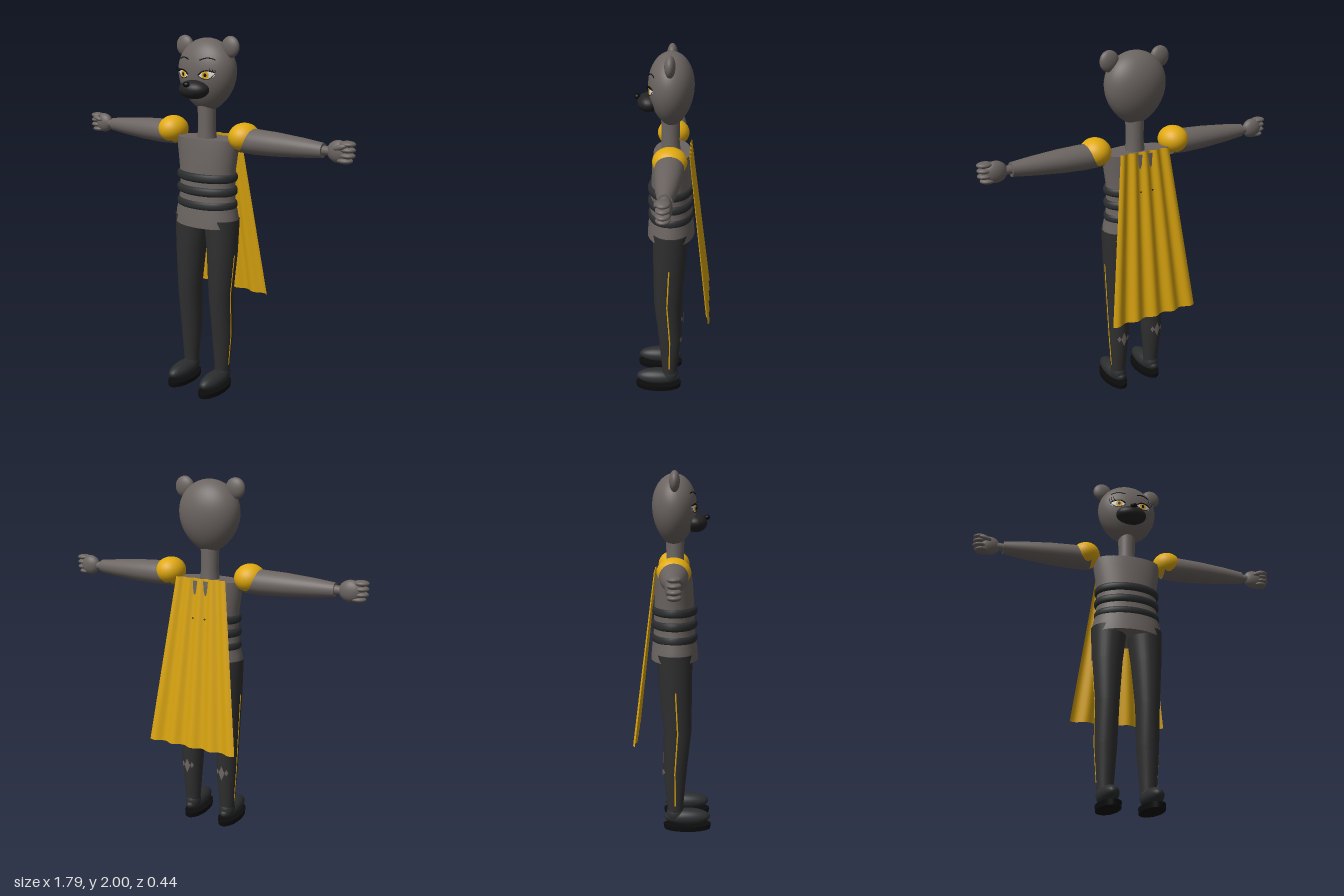
import * as THREE from 'three';

const mat = (name, color, side = THREE.FrontSide) => {
  const m = new THREE.MeshStandardMaterial({ color, side });
  m.name = name;
  return m;
};

// Elliptical sections [y, cx, rx, rz, cz] joined into a capped, smooth body
function loft(rows, n = 32) {
  const pos = [], idx = [];
  const ring = ([y, cx, rx, rz, cz]) => {
    for (let i = 0; i < n; i++) {
      const a = (i / n) * Math.PI * 2;
      pos.push(cx + rx * Math.sin(a), y, cz + rz * Math.cos(a));
    }
  };
  rows.forEach(ring);
  for (let r = 0; r < rows.length - 1; r++) {
    for (let i = 0; i < n; i++) {
      const a = r * n + i, b = r * n + (i + 1) % n;
      idx.push(a, b, b + n, a, b + n, a + n);
    }
  }
  [rows[0], rows[rows.length - 1]].forEach((row, top) => {
    const start = pos.length / 3;
    ring(row);
    pos.push(row[1], row[0], row[4]);
    for (let i = 0; i < n; i++) {
      const a = start + i, b = start + (i + 1) % n;
      top ? idx.push(a, b, start + n) : idx.push(b, a, start + n);
    }
  });
  const g = new THREE.BufferGeometry();
  g.setAttribute('position', new THREE.Float32BufferAttribute(pos, 3));
  g.setIndex(idx);
  g.computeVertexNormals();
  return g;
}

// Moves every vertex by a rule
function warp(g, rule) {
  const p = g.attributes.position, v = new THREE.Vector3();
  for (let i = 0; i < p.count; i++) {
    rule(v.fromBufferAttribute(p, i));
    p.setXYZ(i, v.x, v.y, v.z);
  }
  g.computeVertexNormals();
  return g;
}

// Egg-shaped head: half width at a height, and front surface depth
const headWidth = (y) => {
  const t = y - 1.82;
  return t > 0 ? 0.175 * Math.sqrt(Math.max(0, 1 - (t / 0.17) ** 2))
    : 0.175 * Math.max(0, 1 - (t / 0.22) ** 2) ** 0.65;
};
const headZ = (x, y) => 0.005 + 0.69 * Math.sqrt(Math.max(0, headWidth(y) ** 2 - x * x));

export function createModel() {
  const root = new THREE.Group();
  root.name = 'caped bear figure';
  const fur = mat('grey fur', 0x6b6461);
  const gold = mat('gold', 0xe0a910);
  const cloth = mat('gold cape', 0xd9a40f, THREE.DoubleSide);
  const pants = mat('charcoal trousers', 0x2f2f2f);
  const dark = mat('dark bands and shoes', 0x2b2d2e);
  const snout = mat('muzzle', 0x242222);
  const black = mat('black', 0x0c0c0c);
  const white = mat('eye white', 0xe8e4de);

  const add = (name, geometry, material, parent = root) => {
    const m = new THREE.Mesh(geometry, material);
    m.name = name;
    parent.add(m);
    return m;
  };
  const ball = (name, material, [x, y, z], [rx, ry, rz], parent = root) => {
    const m = add(name, new THREE.SphereGeometry(1, 28, 20), material, parent);
    m.position.set(x, y, z);
    m.scale.set(rx, ry, rz);
    return m;
  };

  // Torso, waist bands and neck
  add('torso', loft([
    [0.978, 0, 0.2, 0.132, 0.007], [1.05, 0, 0.194, 0.126, 0.007], [1.11, 0, 0.178, 0.117, 0.006],
    [1.2, 0, 0.172, 0.113, 0.005], [1.3, 0, 0.178, 0.11, 0.004], [1.4, 0, 0.194, 0.106, 0.002],
    [1.46, 0, 0.2, 0.1, 0],
  ], 48), fur);
  for (const y of [1.1, 1.177, 1.252]) {
    add('waist band', loft([
      [y - 0.024, 0, 0.172, 0.112, 0.007], [y - 0.019, 0, 0.183, 0.122, 0.007], [y - 0.008, 0, 0.188, 0.127, 0.007],
      [y + 0.008, 0, 0.188, 0.127, 0.007], [y + 0.019, 0, 0.183, 0.122, 0.007], [y + 0.024, 0, 0.172, 0.112, 0.007],
    ], 48), dark);
  }
  add('neck', loft([[1.44, 0, 0.056, 0.054, 0.008], [1.52, 0, 0.048, 0.048, 0.009], [1.66, 0, 0.052, 0.05, 0.01]]), fur);

  // Head and muzzle
  const head = new THREE.Group();
  head.name = 'head';
  root.add(head);
  const profile = [];
  for (let i = 0; i <= 36; i++) {
    const y = 1.795 - 0.195 * Math.cos((i / 36) * Math.PI);
    profile.push(new THREE.Vector2(i % 36 ? headWidth(y) : 0, y));
  }
  const skull = add('skull', new THREE.LatheGeometry(profile, 40), fur, head);
  skull.scale.z = 0.69;
  skull.position.z = 0.005;
  ball('muzzle', snout, [0, 1.727, 0.12], [0.09, 0.05, 0.064], head);
  ball('nose', black, [0, 1.757, 0.183], [0.02, 0.014, 0.016], head);

  // Thin disc laid on the face
  const faceDisc = (name, material, x, y, rx, ry, tilt, lift) => {
    const g = new THREE.RingGeometry(0, 1, 24, 4);
    g.scale(rx, ry, 1).rotateZ(tilt).translate(x, y, 0);
    add(name, warp(g, (v) => { v.z = headZ(v.x, v.y) + lift; }), material, head);
  };
  // Thin line laid on the face
  const faceLine = (name, pts, radius, lift) => {
    const curve = new THREE.CatmullRomCurve3(pts.map(([x, y, out = 0]) => new THREE.Vector3(x, y, headZ(x, y) + lift + out)));
    add(name, new THREE.TubeGeometry(curve, 12, radius, 6), black, head);
  };

  for (const s of [1, -1]) {
    ball('ear', fur, [s * 0.152, 1.945, 0.006], [0.055, 0.056, 0.028], head);

    // Eye, lashes and brow
    faceDisc('eye white', white, s * 0.078, 1.805, 0.043, 0.02, s * 0.12, 0.002);
    faceDisc('iris', gold, s * 0.073, 1.804, 0.019, 0.019, 0, 0.004);
    faceDisc('pupil', black, s * 0.073, 1.804, 0.008, 0.01, 0, 0.006);
    faceLine('upper lash line', [[s * 0.034, 1.803], [s * 0.055, 1.821], [s * 0.085, 1.827], [s * 0.122, 1.818]], 0.0038, 0.004);
    faceLine('lower lash line', [[s * 0.036, 1.797], [s * 0.06, 1.785], [s * 0.09, 1.785], [s * 0.12, 1.81]], 0.0018, 0.003);
    for (const k of [0, 1, 2]) {
      const x = s * (0.122 - k * 0.012), y = 1.82 + k * 0.004;
      faceLine('eyelash', [[x, y], [x + s * 0.006, y + 0.004, 0.012], [x + s * 0.01, y + 0.013, 0.026]], 0.0015, 0.003);
    }
    faceLine('eyebrow', [[s * 0.035, 1.879], [s * 0.065, 1.889], [s * 0.095, 1.889], [s * 0.117, 1.881]], 0.003, 0.002);

    // Shoulder pad and outstretched arm
    ball('shoulder pad', gold, [s * 0.245, 1.484, 0.003], [0.083, 0.076, 0.09]);
    const arm = add('arm', loft([
      [0.22, 0, 0.064, 0.07, 0], [0.32, 0, 0.067, 0.075, 0], [0.45, 0, 0.062, 0.068, 0],
      [0.6, 0, 0.05, 0.052, 0], [0.72, 0, 0.037, 0.034, 0],
    ]), fur);
    arm.rotation.z = -s * Math.PI / 2;
    arm.position.set(0, 1.467, 0.003);

    // Hand closed into a fist
    const hand = new THREE.Group();
    hand.name = 'hand';
    root.add(hand);
    const wrist = add('wrist', new THREE.CylinderGeometry(0.022, 0.024, 0.07, 20), fur, hand);
    wrist.rotation.z = -s * Math.PI / 2;
    wrist.position.set(s * 0.74, 1.468, 0.002);
    ball('palm', fur, [s * 0.802, 1.47, 0], [0.062, 0.056, 0.036], hand);
    [1.512, 1.484, 1.456, 1.43].forEach((y, i) => {
      ball('finger', fur, [s * (0.852 - (i === 3 ? 0.012 : 0)), y, 0.006], [0.041, 0.016, 0.034], hand);
    });
    ball('thumb', fur, [s * 0.825, 1.497, 0.034], [0.036, 0.014, 0.014], hand).rotation.z = s * 0.3;

    // Trouser leg with a side stripe
    const rows = [
      [0.08, 0.115, 0.041, 0.045, 0.012], [0.15, 0.115, 0.046, 0.046, 0.012], [0.35, 0.114, 0.061, 0.067, 0.009],
      [0.58, 0.112, 0.066, 0.077, 0.024], [0.82, 0.111, 0.084, 0.091, 0.012], [1.02, 0.102, 0.101, 0.098, 0.007],
    ];
    add('trouser leg', loft(rows.map(([y, cx, ...r]) => [y, s * cx, ...r])), pants);
    add('side stripe', loft(rows.slice(1, 5).map(([y, cx, rx, , cz]) => [y, s * (cx + rx), 0.0025, 0.004, cz]), 8), gold);

    // Diamond patches on the back of the calf
    for (const [dx, dy, w, h] of [[0, 0, 0.019, 0.045], [-0.028, 0.004, 0.01, 0.02], [0.028, 0.004, 0.01, 0.02]]) {
      const g = new THREE.RingGeometry(0, 1, 4, 4);
      g.scale(w, h, 1).rotateY(Math.PI).translate(dx, 0.345 + dy, 0);
      warp(g, (v) => {
        v.z = 0.009 - 0.067 * Math.sqrt(1 - (v.x / 0.061) ** 2) - 0.004;
        v.x += s * 0.114;
      });
      add('calf patch', g, fur);
    }

    // Shoe and sole
    ball('shoe', dark, [s * 0.115, 0.072, 0.08], [0.052, 0.047, 0.13]);
    ball('shoe heel', dark, [s * 0.115, 0.09, 0.012], [0.046, 0.055, 0.052]);
    const sole = add('sole', new THREE.CylinderGeometry(1, 0.97, 0.028, 36), black);
    sole.scale.set(0.062, 1, 0.136);
    sole.position.set(s * 0.113, 0.014, 0.08);
  }

  // Pleated cape, flaring towards the hem
  const cape = new THREE.PlaneGeometry(1, 1, 66, 10);
  warp(cape, (v) => {
    const t = 0.5 - v.y, u = v.x;
    v.x = u * (0.3 + 0.24 * t);
    v.y = 1.475 - 0.935 * t;
    v.z = -0.098 - 0.11 * t - (0.006 + 0.005 * t) * Math.cos(u * Math.PI * 2 * 4.5);
  });
  add('cape', cape, cloth);

  return root;
}
